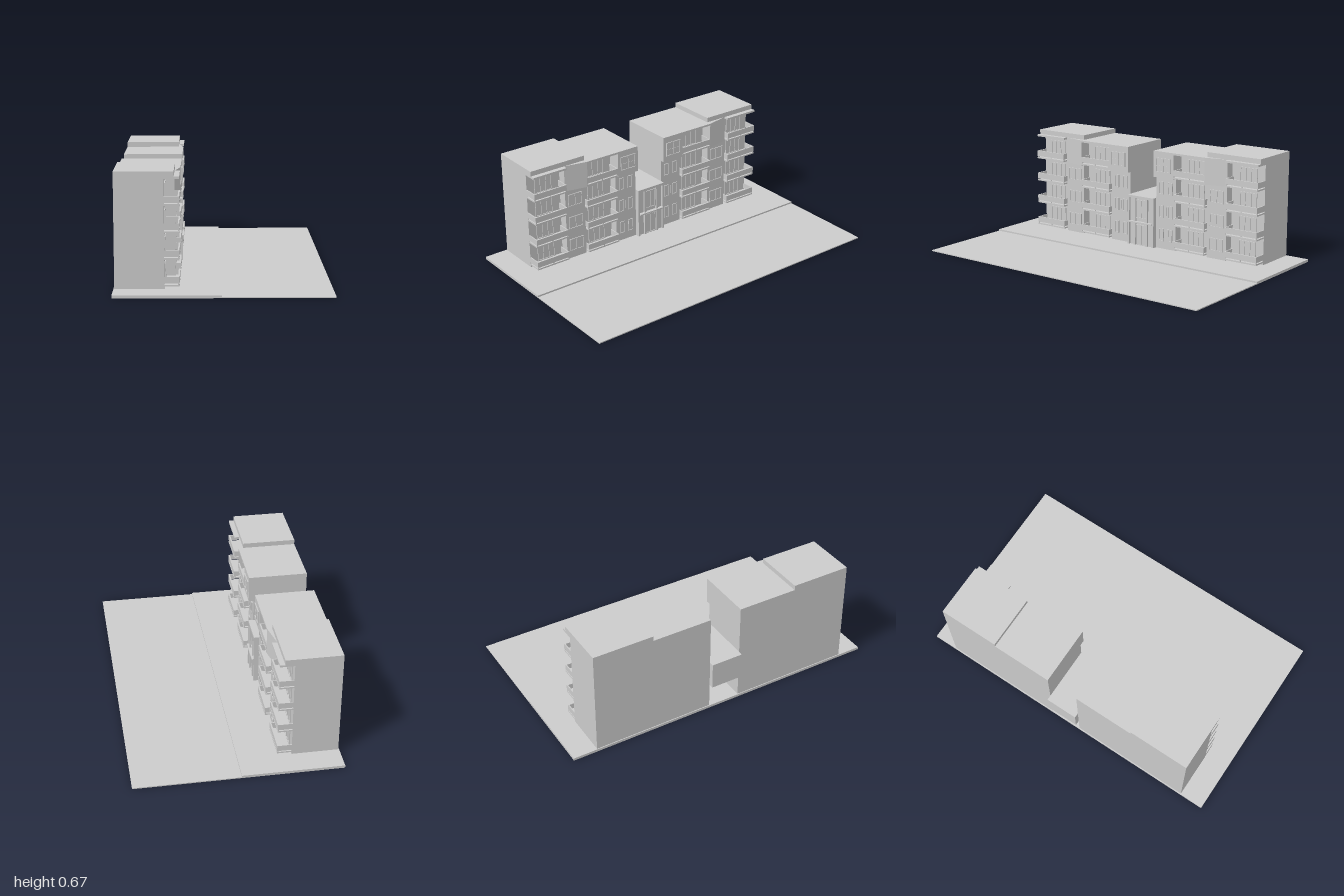
import * as THREE from 'three';

const grey = new THREE.MeshStandardMaterial({ color: 0xcccccc, flatShading: true });

// Box given by its limits along x, y and z
function box(parent, name, x0, x1, y0, y1, z0, z1) {
  const mesh = new THREE.Mesh(new THREE.BoxGeometry(x1 - x0, y1 - y0, Math.abs(z1 - z0)), grey);
  mesh.position.set((x0 + x1) / 2, (y0 + y1) / 2, (z0 + z1) / 2);
  mesh.name = name;
  parent.add(mesh);
  return mesh;
}

// Upright prism with a plan outline of [x, z] points
function prism(parent, name, plan, y0, y1) {
  const shape = new THREE.Shape(plan.map(([x, z]) => new THREE.Vector2(x, -z)));
  const geo = new THREE.ExtrudeGeometry(shape, { depth: y1 - y0, bevelEnabled: false });
  geo.rotateX(-Math.PI / 2);
  const mesh = new THREE.Mesh(geo, grey);
  mesh.position.y = y0;
  mesh.name = name;
  parent.add(mesh);
}

// Framed window or glazed door on a wall facing +x
function framed(parent, name, x, y0, y1, z0, z1, mullions = [0.5]) {
  const g = new THREE.Group();
  g.name = name;
  const f = 0.005, out = x + 0.006;
  box(g, 'glass', x - 0.002, x + 0.001, y0, y1, z0, z1);
  box(g, 'frameBottom', x, out, y0, y0 + f, z0, z1);
  box(g, 'frameTop', x, out, y1 - f, y1, z0, z1);
  box(g, 'frameSide', x, out, y0, y1, z0, z0 + f);
  box(g, 'frameSide', x, out, y0, y1, z1 - f, z1);
  for (const t of mullions) {
    const z = z0 + (z1 - z0) * t;
    box(g, 'mullion', x, out, y0, y1, z - 0.002, z + 0.002);
  }
  parent.add(g);
}

const BACK = -0.59, RECESS = -0.315, WALL = -0.26, FRONT = -0.23;
const FLOORS = [0.03, 0.18, 0.33, 0.48];

// Balcony with slab, low parapet and handrail
function balcony(parent, y, z0, z1) {
  const g = new THREE.Group();
  g.name = 'balcony';
  box(g, 'slab', RECESS, FRONT, y, y + 0.009, z0, z1);
  box(g, 'parapetFront', FRONT - 0.006, FRONT, y + 0.016, y + 0.046, z0, z1);
  box(g, 'handrail', FRONT - 0.009, FRONT, y + 0.046, y + 0.052, z0, z1);
  for (const z of [z0, z1 - 0.006]) {
    box(g, 'parapetSide', RECESS, FRONT, y + 0.016, y + 0.052, z, z + 0.006);
  }
  for (const t of [0.02, 0.5, 0.98]) {
    const z = z0 + (z1 - z0) * t;
    box(g, 'post', FRONT - 0.008, FRONT - 0.002, y, y + 0.05, z - 0.003, z + 0.003);
  }
  parent.add(g);
}

// One wing, built on the +z side
function buildWing() {
  const g = new THREE.Group();
  g.name = 'wing';
  // Main masses
  box(g, 'outerBlock', BACK, RECESS, 0.016, 0.67, 0.475, 0.85);
  box(g, 'innerBlock', BACK, RECESS, 0.016, 0.64, 0.1, 0.475);
  // Roof edges and canopies over the balconies
  box(g, 'outerRoof', RECESS, WALL, 0.64, 0.67, 0.475, 0.85);
  box(g, 'outerCanopy', RECESS, FRONT, 0.628, 0.64, 0.62, 0.85);
  box(g, 'innerRoof', RECESS, FRONT, 0.628, 0.64, 0.1, 0.475);
  // Facade strips beside the balconies
  box(g, 'outerStrip', RECESS, WALL, 0.016, 0.64, 0.48, 0.62);
  box(g, 'innerStrip', RECESS, WALL, 0.016, 0.63, 0.1, 0.25);
  // Projecting top floor, one part splayed in plan
  box(g, 'topFloorBay', WALL, FRONT, 0.475, 0.63, 0.1, 0.25);
  prism(g, 'splayedBay', [[WALL, 0.475], [WALL, 0.62], [FRONT, 0.475]], 0.475, 0.64);
  framed(g, 'topWindow', FRONT, 0.51, 0.6, 0.12, 0.23);
  box(g, 'sunshade', FRONT, FRONT + 0.003, 0.548, 0.554, 0.12, 0.23);
  // Stair slit
  box(g, 'stairSlit', WALL, WALL + 0.004, 0.23, 0.285, 0.172, 0.178);

  FLOORS.forEach((y, i) => {
    // Corner balconies and recessed balconies with their glazed doors
    for (const [z0, z1] of [[0.625, 0.85], [0.25, 0.48]]) {
      const mid = (z0 + z1) / 2;
      balcony(g, y, z0, z1);
      framed(g, 'balconyDoor', RECESS, y + 0.01, y + 0.118, mid - 0.06, mid + 0.06, [0.33, 0.66]);
    }
    if (i < 3) {
      framed(g, 'stripWindow', WALL, y + 0.035, y + 0.115, 0.5, 0.6);
      framed(g, 'stripWindow', WALL, y + 0.035, y + 0.115, 0.125, 0.16, []);
      framed(g, 'stripWindow', WALL, y + 0.035, y + 0.115, 0.19, 0.225, []);
    }
  });
  return g;
}

// Mirror a wing across z = 0, flipping the winding of its faces
function mirrorZ(source) {
  const copy = source.clone(true);
  copy.traverse((o) => {
    o.position.z *= -1;
    if (!o.isMesh) return;
    const geo = o.geometry.index ? o.geometry.toNonIndexed() : o.geometry.clone();
    geo.scale(1, 1, -1);
    const p = geo.attributes.position;
    for (let i = 0; i < p.count; i += 3) {
      const a = [p.getX(i), p.getY(i), p.getZ(i)];
      p.setXYZ(i, p.getX(i + 1), p.getY(i + 1), p.getZ(i + 1));
      p.setXYZ(i + 1, ...a);
    }
    geo.computeVertexNormals();
    o.geometry = geo;
  });
  return copy;
}

// Central link with a passage at the back and the entrance in front
function buildLink() {
  const g = new THREE.Group();
  g.name = 'entranceLink';
  box(g, 'bridge', -0.62, FRONT - 0.012, 0.17, 0.335, -0.1, 0.1);
  box(g, 'entranceWall', -0.3, FRONT - 0.012, 0.016, 0.17, -0.1, 0.1);
  box(g, 'canopy', FRONT - 0.012, -0.22, 0.162, 0.17, -0.09, 0.09);
  box(g, 'roofEdge', FRONT - 0.012, FRONT, 0.32, 0.335, -0.1, 0.1);
  for (const z of [-0.1, -0.052, 0.04, 0.088]) {
    box(g, 'pier', FRONT - 0.012, FRONT, 0.016, 0.32, z, z + 0.012);
  }
  framed(g, 'entranceDoor', FRONT - 0.012, 0.016, 0.15, -0.04, 0.04);
  framed(g, 'hallWindow', FRONT - 0.012, 0.19, 0.31, -0.04, 0.04);
  return g;
}

export function createModel() {
  const model = new THREE.Group();
  model.name = 'apartmentBuilding';
  // Ground
  box(model, 'pavement', -0.595, 0, 0, 0.016, -1, 1);
  box(model, 'road', 0, 0.62, 0, 0.006, -1, 1);
  // Building
  const left = buildWing();
  const right = mirrorZ(left);
  left.name = 'frontWing';
  right.name = 'rearWing';
  model.add(left, right, buildLink());
  return model;
}
